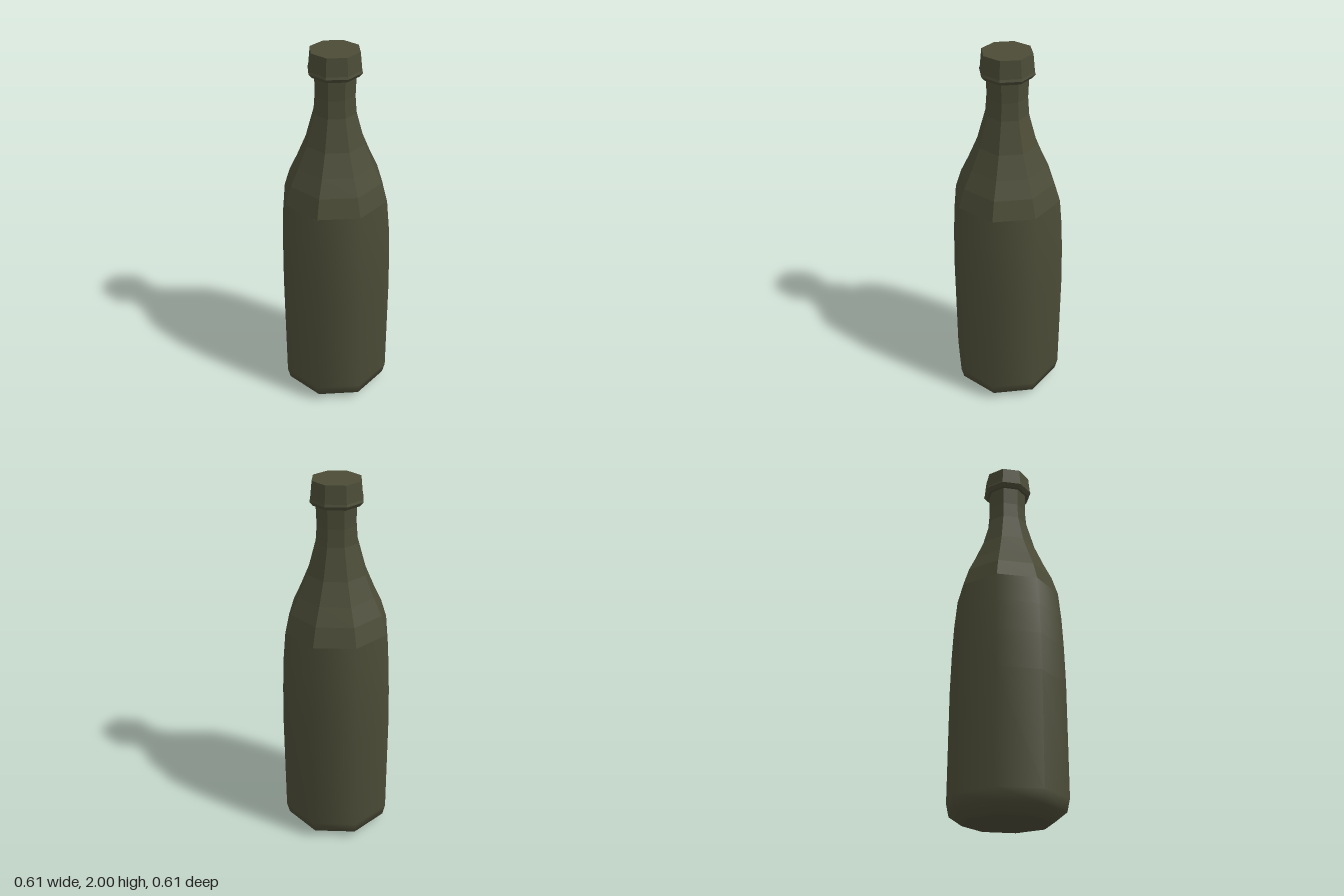
import * as THREE from 'three';

const SIDES = 8;

// Eight-sided turned part from [radius, y] pairs, listed from bottom to top
function turned(profile, faceted) {
  const points = profile.map(([r, y]) => new THREE.Vector2(r, y));
  let geometry = new THREE.LatheGeometry(points, SIDES);
  if (faceted) {
    geometry = geometry.toNonIndexed();
    geometry.computeVertexNormals();
  }
  return geometry;
}

// Flat octagonal disc, facing up or down, with corners on the axes
function disc(radius, y, up) {
  const geometry = new THREE.CircleGeometry(radius, SIDES);
  geometry.rotateX(up ? -Math.PI / 2 : Math.PI / 2);
  geometry.translate(0, y, 0);
  return geometry;
}

export function createModel() {
  const bottle = new THREE.Group();
  bottle.name = 'bottle';
  const glass = new THREE.MeshStandardMaterial({ color: 0x4b4b37 });
  glass.name = 'dark olive glass';

  const add = (name, geometry) => {
    const mesh = new THREE.Mesh(geometry, glass);
    mesh.name = name;
    bottle.add(mesh);
  };

  // Base and smooth body with a rounded foot
  add('base', disc(0.225, 0, false));
  add('body', turned([
    [0.225, 0], [0.292, 0.045], [0.307, 0.11], [0.307, 0.7],
    [0.302, 0.9], [0.294, 1.07], [0.279, 1.225],
  ], false));

  // Faceted shoulder and neck
  add('neck', turned([
    [0.279, 1.225], [0.247, 1.325], [0.204, 1.415], [0.155, 1.53],
    [0.11, 1.69], [0.103, 1.78], [0.107, 1.885],
  ], true));

  // Flared cap with a small lip at its lower edge
  add('cap', turned([
    [0.104, 1.88], [0.122, 1.88], [0.138, 1.9], [0.134, 1.912], [0.125, 2],
  ], true));
  add('capTop', disc(0.125, 2, true));

  return bottle;
}
